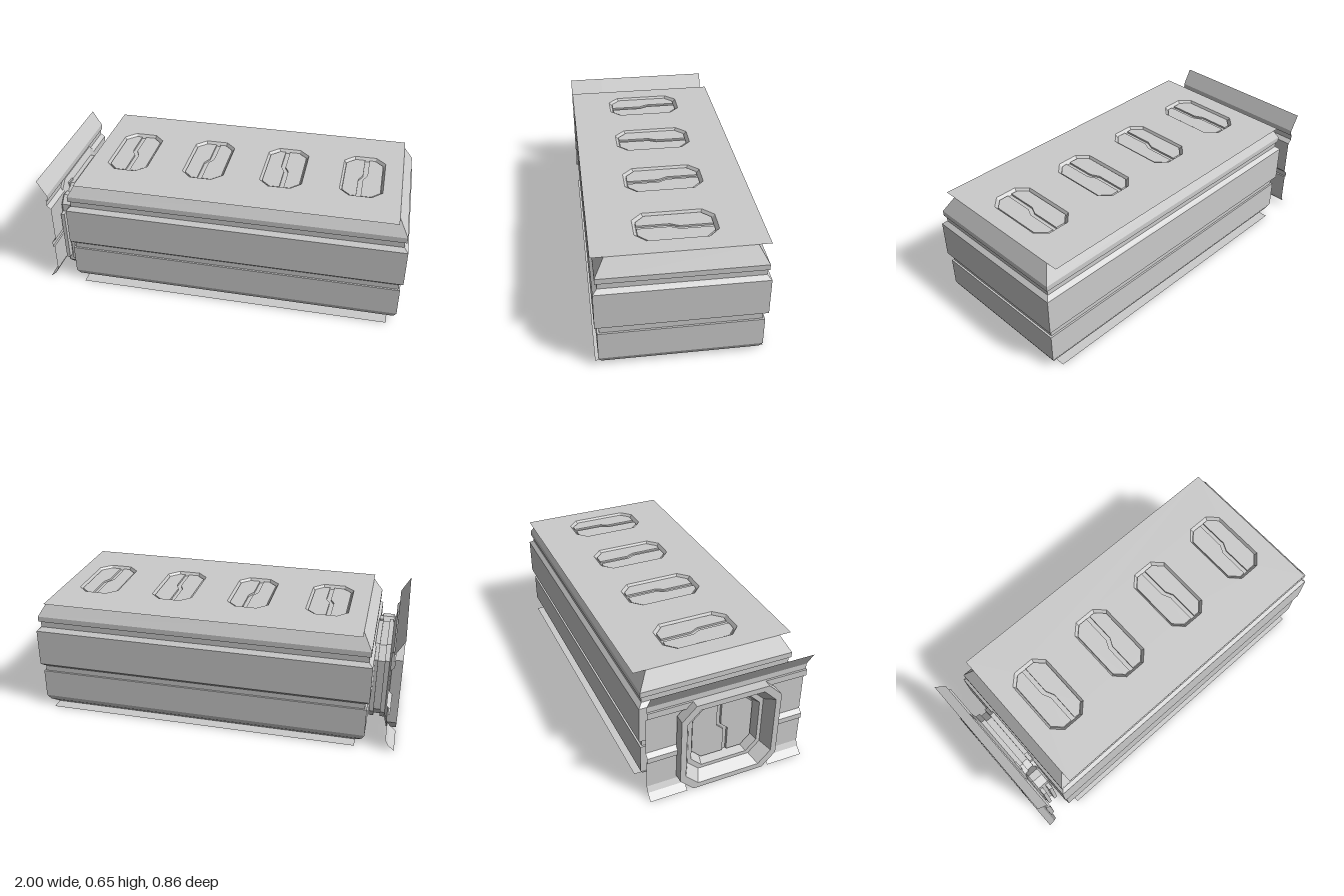
import * as THREE from 'three';

const material = new THREE.MeshStandardMaterial({ color: 0xcccccc, flatShading: true, side: THREE.DoubleSide });

const TOP = 0.647, HALF_Z = 0.43;

// Wall profile from the floor up: [height, half depth]
const PROFILE = [
  [0, 0.365], [0.03, 0.4], [0.06, 0.415], [0.22, 0.415], [0.22, 0.405], [0.25, 0.405], [0.27, 0.427],
  [0.475, 0.427], [0.495, 0.405], [0.53, 0.405], [0.53, 0.415], [0.56, 0.415], [TOP, 0.365],
];

function add(parent, name, geometry, x = 0, y = 0, z = 0) {
  const mesh = new THREE.Mesh(geometry, material);
  mesh.name = name;
  mesh.position.set(x, y, z);
  parent.add(mesh);
  return mesh;
}

// Flat-shaded skin through cross-sections of equal point count
function loft(loops, closed = true) {
  const pos = [];
  for (let k = 0; k + 1 < loops.length; k++) {
    const a = loops[k], b = loops[k + 1], n = a.length;
    for (let i = 0; i < (closed ? n : n - 1); i++) {
      const j = (i + 1) % n;
      for (const p of [a[i], a[j], b[j], a[i], b[j], b[i]]) pos.push(...p);
    }
  }
  const g = new THREE.BufferGeometry();
  g.setAttribute('position', new THREE.Float32BufferAttribute(pos, 3));
  g.computeVertexNormals();
  return g;
}

// Chamfered rectangle outline, counter-clockwise
function octagon(w, h, c) {
  return [[w, c - h], [w, h - c], [w - c, h], [c - w, h], [-w, h - c], [-w, c - h], [c - w, -h], [w - c, -h]];
}

const toShape = (pts) => new THREE.Shape(pts.map(([x, y]) => new THREE.Vector2(x, y)));

// Two interlocking door leaves with a stepped gap between them
function leaves(w, h, c, jog, gap, depth) {
  const right = [
    [w, c - h], [w, h - c], [w - c, h], [gap + jog, h], [gap + jog, 0.12 * h],
    [gap - jog, -0.12 * h], [gap - jog, -h], [w - c, -h],
  ];
  const left = right.map(([x, y]) => [-x, -y]);
  return new THREE.ExtrudeGeometry([toShape(right), toShape(left)], { depth, bevelEnabled: false });
}

function makeBody() {
  const body = new THREE.Group();
  body.name = 'body';

  // Banded wall running round all four sides
  add(body, 'bandedWall', loft(PROFILE.map(([y, d]) => {
    const x1 = d + 0.57, x0 = -d - 0.425;
    return [[x1, y, d], [x1, y, -d], [x0, y, -d], [x0, y, d]];
  })));

  // Lid and floor overhang the long sides
  const x0 = -0.79, x1 = 0.935;
  const rect = [[x0, -HALF_Z], [x1, -HALF_Z], [x1, HALF_Z], [x0, HALF_Z]];
  const lid = toShape(rect);
  const centres = [-0.575, -0.142, 0.29, 0.722];
  const rim = octagon(0.115, 0.208, 0.055), bed = octagon(0.104, 0.192, 0.048);
  for (const cx of centres) {
    lid.holes.push(new THREE.Path(rim.map(([x, y]) => new THREE.Vector2(x + cx, y)).reverse()));
  }
  add(body, 'lid', new THREE.ShapeGeometry(lid).rotateX(-Math.PI / 2), 0, TOP, 0);
  add(body, 'floor', new THREE.ShapeGeometry(toShape(rect)).rotateX(Math.PI / 2));

  // Recessed hatches, alternately mirrored
  centres.forEach((cx, i) => {
    const hatch = new THREE.Group();
    hatch.name = 'hatch';
    hatch.position.set(cx, TOP, 0);
    add(hatch, 'hatchWall', loft([bed.map(([x, y]) => [x, -0.02, -y]), rim.map(([x, y]) => [x, 0, -y])].reverse()));
    add(hatch, 'hatchBed', new THREE.ShapeGeometry(toShape(bed)).rotateX(-Math.PI / 2), 0, -0.02, 0);
    const jog = i % 2 ? 0.011 : -0.011;
    add(hatch, 'hatchLeaves', leaves(0.102, 0.19, 0.047, jog, 0.012, 0.01).rotateX(-Math.PI / 2), 0, -0.02, 0);
    body.add(hatch);
  });
  return body;
}

function makeEndPanel() {
  const end = new THREE.Group();
  end.name = 'endPanel';

  // Thin profiled sheet left open where the port passes through
  const sheet = (from, z0, z1) => loft(PROFILE.filter(([y]) => y >= from)
    .map(([y, d]) => [[d - 1.365, y, z1], [d - 1.365, y, z0]]), false);
  add(end, 'panelSideFront', sheet(0, 0.23, HALF_Z));
  add(end, 'panelSideBack', sheet(0, -HALF_Z, -0.23));
  add(end, 'panelTop', sheet(0.495, -0.23, 0.23));

  // Port: neck, flange and stepped recess as [x, inset]
  const W = 0.27, H = 0.265;
  const ring = ([x, s]) => octagon(W - s, H - s, 0.075 - s * 0.2).map(([z, y]) => [x, y + H, z]);
  add(end, 'port', loft([
    [-0.845, 0.04], [-0.87, 0.04], [-0.87, 0.052], [-0.905, 0.052], [-0.905, 0.04], [-0.93, 0.04],
    [-0.945, 0], [-1, 0], [-1, 0.03], [-0.94, 0.065], [-0.94, 0.085], [-0.89, 0.1],
  ].map(ring)));
  add(end, 'portBed', new THREE.ShapeGeometry(toShape(octagon(W - 0.1, H - 0.1, 0.055))).rotateY(-Math.PI / 2), -0.89, H, 0);
  add(end, 'portLeaves', leaves(0.165, 0.16, 0.053, -0.02, 0.012, 0.015).rotateY(-Math.PI / 2), -0.89, H, 0);

  // Latch block beside the neck, with small hooks
  const latch = ([x, s]) => octagon(0.06 - s, 0.235 - s, 0.04).map(([z, y]) => [x, y + 0.24, z + 0.25]);
  add(end, 'latch', loft([[-0.855, 0.01], [-0.865, 0], [-0.925, 0], [-0.935, 0.01]].map(latch)));
  for (const x of [-0.915, -0.875]) add(end, 'latchHook', new THREE.BoxGeometry(0.02, 0.3, 0.05), x, 0.24, 0.32);
  for (const x of [-0.935, -0.86]) add(end, 'neckClip', new THREE.BoxGeometry(0.02, 0.03, 0.05), x, 0.485, 0.155);
  return end;
}

export function createModel() {
  const model = new THREE.Group();
  model.name = 'container';
  model.add(makeBody(), makeEndPanel());
  return model;
}
